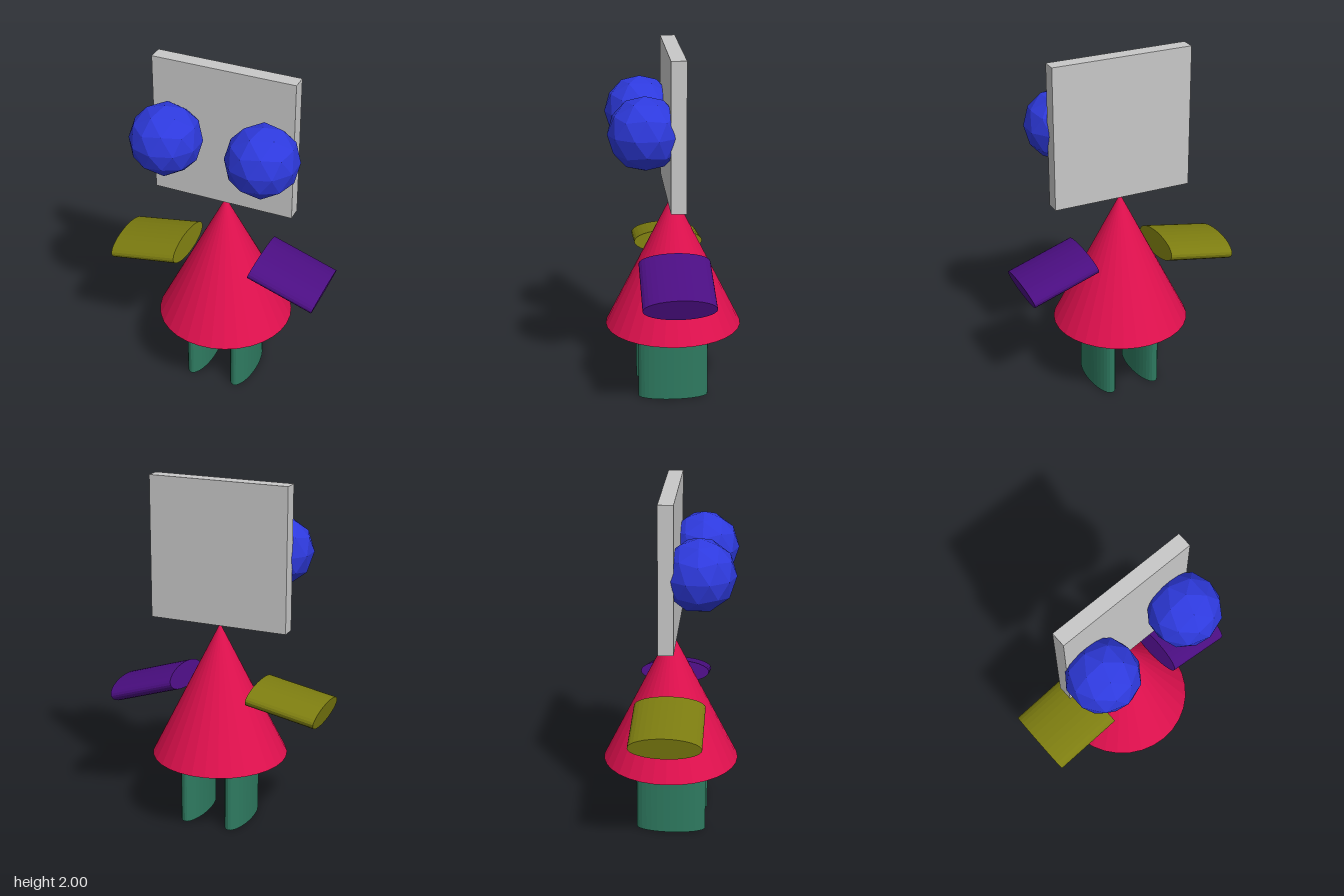
import * as THREE from 'three';

const paint = (name, color) => {
  const m = new THREE.MeshStandardMaterial({ color, flatShading: true });
  m.name = name;
  return m;
};

export function createModel() {
  const model = new THREE.Group();
  model.name = 'figure';
  const grey = paint('grey', 0xc8c8c8);
  const blue = paint('blue', 0x2e3ade);
  const red = paint('red', 0xe0104e);
  const green = paint('green', 0x2e7a60);
  const olive = paint('olive', 0x7c7c10);
  const purple = paint('purple', 0x4b0e82);

  const add = (name, geometry, material, x, y, z) => {
    const mesh = new THREE.Mesh(geometry, material);
    mesh.name = name;
    mesh.position.set(x, y, z);
    model.add(mesh);
    return mesh;
  };

  // Flattened cylinder, thin in x and deep in z
  const limb = (length) =>
    new THREE.CylinderGeometry(0.2, 0.2, length, 32).scale(0.33, 1, 1);

  // Square slab head
  add('head', new THREE.BoxGeometry(0.82, 0.82, 0.084), grey, 0.005, 1.591, 0);

  // Faceted eyes, one corner turned straight up
  const ball = new THREE.IcosahedronGeometry(0.202, 1);
  ball.rotateZ(Math.atan2(1, (1 + Math.sqrt(5)) / 2));
  add('rightEye', ball, blue, -0.272, 1.593, 0.17);
  add('leftEye', ball, blue, 0.288, 1.593, 0.17);

  // Cone body
  add('body', new THREE.ConeGeometry(0.39, 0.78, 32), red, 0.006, 0.792, 0);

  // Arms, tilted down and outwards
  const deg = Math.PI / 180;
  const arm = limb(0.407).rotateZ(Math.PI / 2);
  add('rightArm', arm, olive, -0.429, 0.776, 0.01).rotation.z = 10.4 * deg;
  add('leftArm', arm, purple, 0.421, 0.777, 0.008).rotation.z = -18.5 * deg;

  // Legs
  const leg = limb(0.404);
  add('rightLeg', leg, green, -0.128, 0.202, 0.01);
  add('leftLeg', leg, green, 0.148, 0.202, 0.01);

  return model;
}
